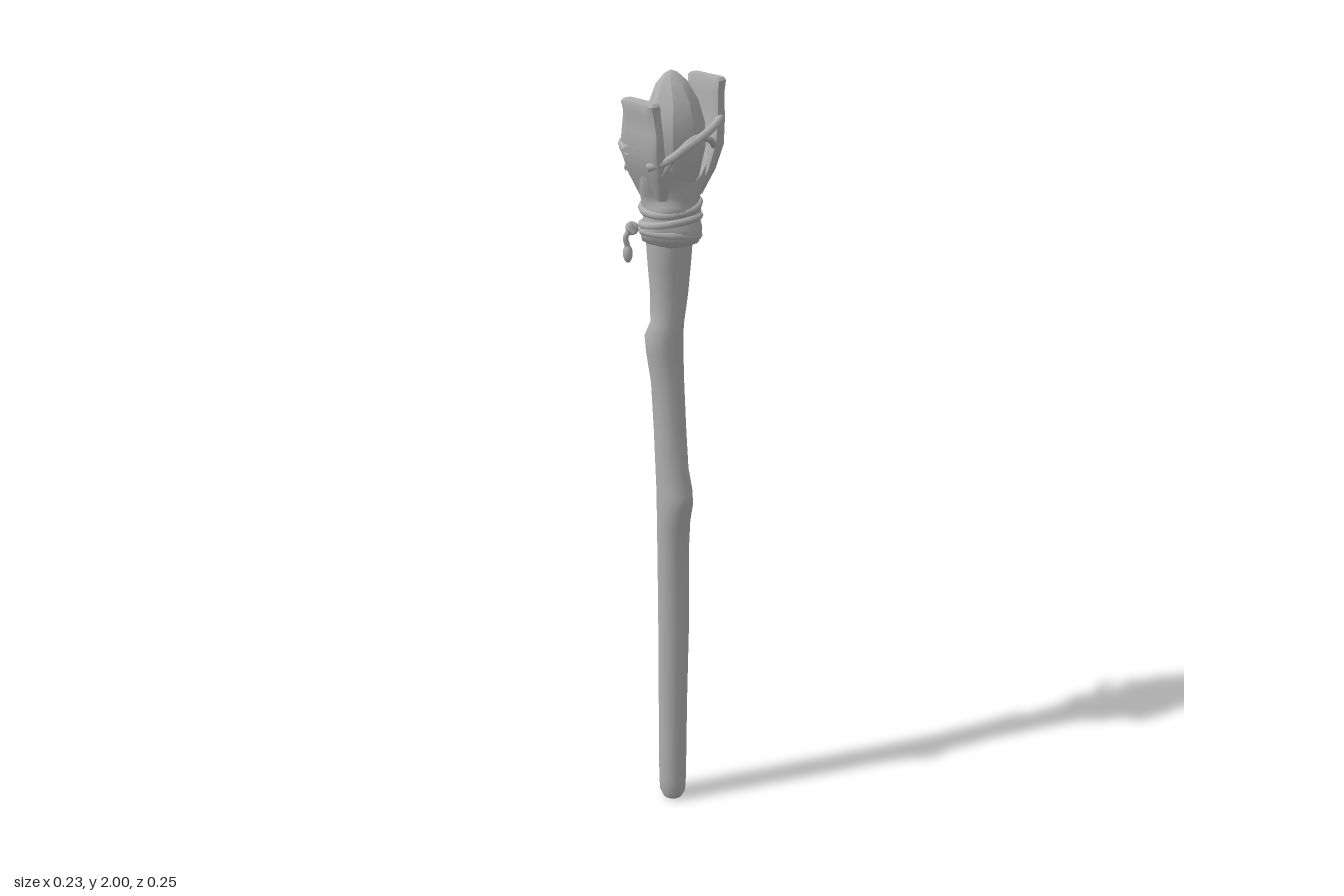
import * as THREE from 'three';
import { mergeVertices, toCreasedNormals } from 'three/addons/utils/BufferGeometryUtils.js';

// Skin a grid of points: point(i, j) runs i around (closed) and j upward.
function skin(n, rows, point, crease = 0.7) {
  const pos = [], idx = [];
  for (let j = 0; j < rows; j++)
    for (let i = 0; i < n; i++) pos.push(...point((i / n) * Math.PI * 2, j));
  for (let j = 0; j < rows - 1; j++)
    for (let i = 0; i < n; i++) {
      const k = (i + 1) % n, a = j * n + i, b = j * n + k, c = a + n, d = b + n;
      idx.push(a, c, b, b, c, d);
    }
  const g = new THREE.BufferGeometry();
  g.setAttribute('position', new THREE.Float32BufferAttribute(pos, 3));
  g.setIndex(idx);
  return toCreasedNormals(g, crease);
}

// Sections are [y, centre x, centre z, radius x, radius z]; power < 1 squares them off.
function loft(sections, n, power = 1, waist = 0, crease = 0.7) {
  const bend = (v) => Math.sign(v) * Math.abs(v) ** power;
  return skin(n, sections.length, (a, j) => {
    const [y, cx, cz, rx, rz] = sections[j];
    const u = bend(Math.cos(a));
    return [cx + rx * u, y, cz + rz * bend(Math.sin(a)) * (1 - waist * (1 - u * u))];
  }, crease);
}

export function createModel() {
  const group = new THREE.Group();
  const grey = new THREE.MeshStandardMaterial({ color: 0xb0b0b0, side: THREE.DoubleSide });
  grey.name = 'grey';
  const add = (name, geometry) => {
    const mesh = new THREE.Mesh(geometry, grey);
    mesh.name = name;
    group.add(mesh);
    return mesh;
  };
  const cord = (name, points, r, closed = false) => {
    const path = new THREE.CatmullRomCurve3(points.map((p) => new THREE.Vector3(...p)), closed, 'centripetal');
    return add(name, new THREE.TubeGeometry(path, points.length * 5, r, 7, closed));
  };

  // Slightly crooked wooden shaft with two swollen knots
  add('shaft', loft([
    [0, 0.018, -0.004, 0.001, 0.001],
    [0.002, 0.018, -0.004, 0.027, 0.026],
    [0.02, 0.018, -0.004, 0.036, 0.034],
    [0.06, 0.018, -0.004, 0.038, 0.036],
    [0.3, 0.021, -0.002, 0.039, 0.038],
    [0.55, 0.026, 0, 0.041, 0.041],
    [0.75, 0.028, 0.004, 0.041, 0.041],
    [0.84, 0.032, 0.006, 0.045, 0.042],
    [0.89, 0.039, 0.008, 0.052, 0.043],
    [0.93, 0.039, 0.009, 0.053, 0.042],
    [0.99, 0.03, 0.01, 0.044, 0.041],
    [1.1, 0.023, 0.011, 0.043, 0.04],
    [1.22, 0.015, 0.012, 0.043, 0.041],
    [1.3, 0.01, 0.017, 0.046, 0.047],
    [1.345, 0.009, 0.019, 0.047, 0.049],
    [1.38, 0.015, 0.013, 0.041, 0.043],
    [1.45, 0.014, 0.006, 0.045, 0.048],
    [1.53, 0.012, 0.004, 0.05, 0.056],
    [1.62, 0.01, 0.002, 0.056, 0.062],
  ], 14));

  // Wrinkled wrapping: cup whose rim climbs toward the front and back
  const profile = [[1.58, 0.052, 0.056], [1.59, 0.068, 0.071], [1.62, 0.073, 0.078], [1.645, 0.066, 0.07],
    [1.67, 0.071, 0.076], [1.69, 0.066, 0.072], [1.73, 0.07, 0.083], [1.78, 0.076, 0.1], [1.85, 0.078, 0.114]];
  const radii = (y) => {
    let k = 0;
    while (k < profile.length - 2 && y > profile[k + 1][0]) k++;
    const [p, q] = [profile[k], profile[k + 1]], t = (y - p[0]) / (q[0] - p[0]);
    return [p[1] + (q[1] - p[1]) * t, p[2] + (q[2] - p[2]) * t];
  };
  const rows = 19;
  add('wrapping', skin(28, rows, (a, j) => {
    const rim = 1.74 + 0.1 * Math.sin(a) ** 2;
    const y = 1.58 + (rim - 1.58) * j / (rows - 1);
    const [rx, rz] = radii(y);
    const fold = 1 + 0.03 * Math.sin(3 * a + y * 60) * Math.min(1, j / 3);
    return [0.014 + rx * fold * Math.cos(a), y + 0.006 * Math.sin(2 * a) * (j > 0), rz * fold * Math.sin(a)];
  }, 1));

  // Wide prongs holding the crystal; the back one is taller
  add('frontProng', loft([
    [1.7, 0.014, 0.05, 0.045, 0.02],
    [1.76, 0.018, 0.078, 0.062, 0.019],
    [1.82, 0.024, 0.098, 0.07, 0.021],
    [1.87, 0.027, 0.1, 0.066, 0.017],
    [1.91, 0.026, 0.1, 0.058, 0.018],
    [1.935, 0.025, 0.104, 0.059, 0.02],
    [1.942, 0.025, 0.104, 0.052, 0.016],
    [1.942, 0.025, 0.104, 0.001, 0.001],
  ], 16, 0.5, 0.25));
  add('backProng', loft([
    [1.7, 0.014, -0.05, 0.045, 0.02],
    [1.76, 0.018, -0.076, 0.06, 0.019],
    [1.82, 0.022, -0.094, 0.064, 0.021],
    [1.88, 0.024, -0.1, 0.06, 0.018],
    [1.94, 0.023, -0.102, 0.056, 0.017],
    [1.97, 0.022, -0.105, 0.058, 0.019],
    [1.977, 0.022, -0.105, 0.052, 0.016],
    [1.977, 0.022, -0.105, 0.001, 0.001],
  ], 16, 0.5, 0.25));

  // Roughly cut egg-shaped crystal
  add('crystal', loft([
    [1.69, 0.02, 0, 0.03, 0.035],
    [1.75, 0.022, 0, 0.06, 0.066],
    [1.82, 0.024, 0, 0.073, 0.079],
    [1.88, 0.025, 0, 0.07, 0.077],
    [1.93, 0.022, -0.002, 0.057, 0.061],
    [1.97, 0.018, 0, 0.036, 0.042],
    [1.993, 0.016, 0.002, 0.014, 0.018],
    [2.0, 0.016, 0.002, 0.001, 0.001],
  ], 9, 1, 0, 0.5));

  // Cords lashed between the prongs on both sides
  cord('leftCord', [[0.06, 1.885, -0.118], [0.085, 1.88, -0.09], [0.104, 1.86, -0.035],
    [0.102, 1.83, 0.035], [0.09, 1.805, 0.08], [0.06, 1.79, 0.112]], 0.01);
  cord('leftLowerCord', [[0.07, 1.81, -0.09], [0.096, 1.84, -0.05], [0.1, 1.85, 0],
    [0.095, 1.82, 0.05], [0.075, 1.77, 0.085]], 0.008);
  cord('rightCord', [[-0.02, 1.9, -0.112], [-0.045, 1.89, -0.075], [-0.06, 1.875, 0],
    [-0.056, 1.85, 0.06], [-0.045, 1.83, 0.1], [-0.01, 1.82, 0.118]], 0.012);
  cord('rightLoop', [[-0.025, 1.835, -0.11], [-0.06, 1.825, -0.06], [-0.098, 1.805, -0.005], [-0.106, 1.8, 0.012],
    [-0.092, 1.793, 0.032], [-0.065, 1.78, 0.065], [-0.035, 1.77, 0.095]], 0.0085);

  // Bindings wound around the base of the wrapping
  [[1.605, 0.066, 0.3], [1.637, 0.067, 1.9], [1.675, 0.066, 3.6]].forEach(([y, r, turn], k) => {
    const ring = [];
    for (let i = 0; i < 10; i++) {
      const a = (i / 10) * Math.PI * 2;
      ring.push([0.012 + r * Math.cos(a), y + 0.012 * Math.sin(a + turn), (r + 0.005) * Math.sin(a)]);
    }
    cord('binding' + (k + 1), ring, 0.01, true);
  });

  // Knot with two dangling ends
  const knot = add('knot', new THREE.SphereGeometry(0.017, 10, 8));
  knot.position.set(-0.035, 1.62, 0.083);
  cord('longCordEnd', [[-0.035, 1.62, 0.083], [-0.042, 1.6, 0.097], [-0.042, 1.575, 0.092]], 0.007);
  cord('shortCordEnd', [[-0.035, 1.62, 0.083], [-0.022, 1.635, 0.1], [-0.012, 1.615, 0.095]], 0.007);
  const tip = add('cordTip', new THREE.SphereGeometry(0.012, 8, 8));
  tip.scale.y = 2;
  tip.position.set(-0.042, 1.557, 0.091);

  return group;
}
